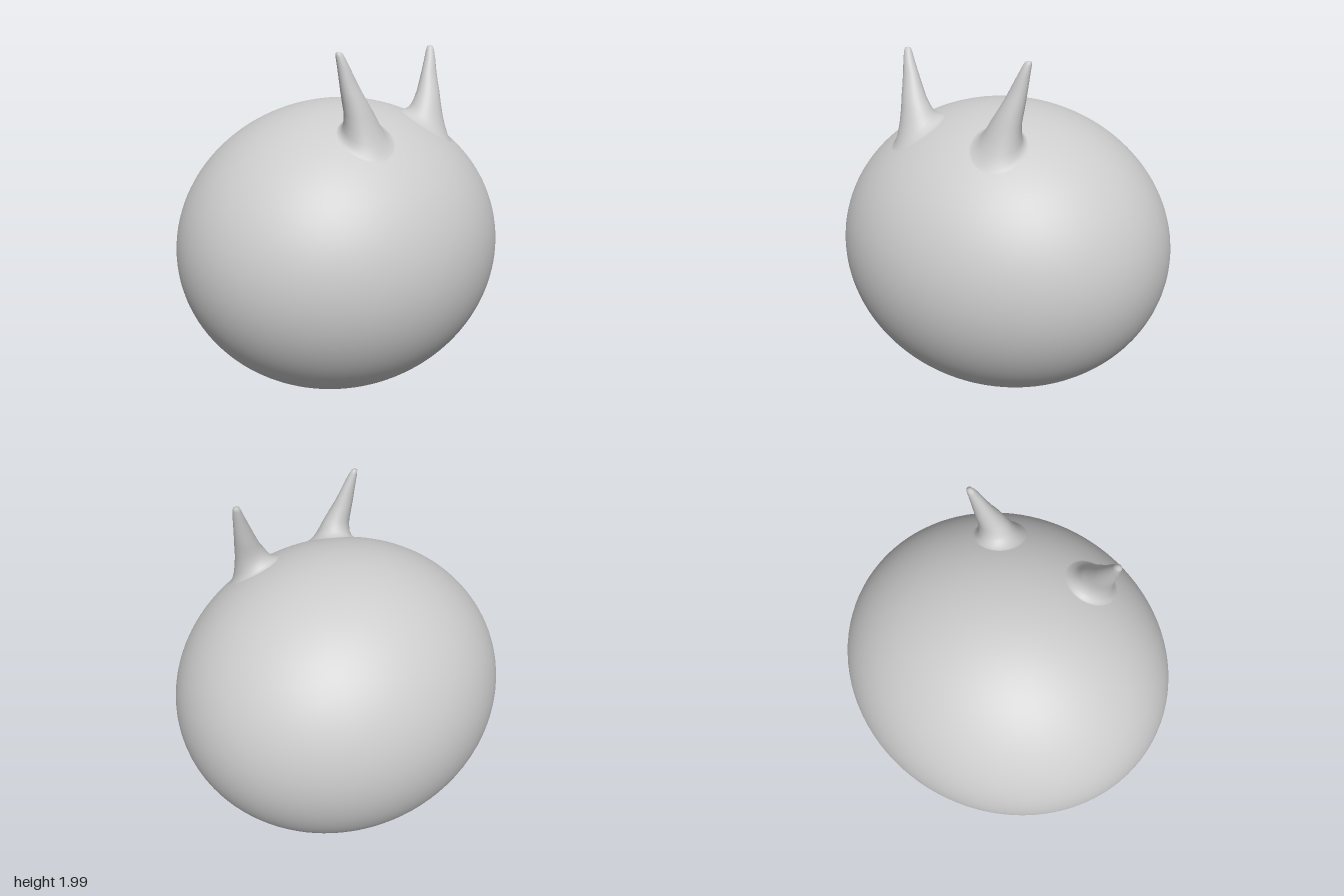
import * as THREE from 'three';

const RX = 1, RY = 0.85, RZ = 0.9, CY = 0.85;
const surfaceY = (x, z) => CY + RY * Math.sqrt(Math.max(0, 1 - (x / RX) ** 2 - (z / RZ) ** 2));

// Horn rings: centre x, radius x, centre z, radius z, lift above the body, level height, share of level height
const RINGS = [
  [0.285, 0.155, 0.405, 0.155, -0.003, 0, 0],
  [0.287, 0.138, 0.405, 0.143, 0.003, 0, 0],
  [0.292, 0.120, 0.403, 0.126, 0.015, 0, 0],
  [0.300, 0.104, 0.400, 0.106, 0.038, 1.62, 0.1],
  [0.309, 0.092, 0.394, 0.088, 0.075, 1.65, 0.3],
  [0.320, 0.081, 0.387, 0.074, 0.120, 1.69, 0.6],
  [0.338, 0.070, 0.376, 0.062, 0, 1.74, 1],
  [0.358, 0.057, 0.364, 0.049, 0, 1.80, 1],
  [0.376, 0.045, 0.354, 0.038, 0, 1.86, 1],
  [0.394, 0.032, 0.345, 0.030, 0, 1.92, 1],
  [0.407, 0.023, 0.336, 0.022, 0, 1.965, 1],
  [0.412, 0.017, 0.332, 0.015, 0, 1.985, 1],
];

// Flared horn whose foot follows the body surface
function hornGeometry(side) {
  const N = 40, pos = [], index = [];
  for (const [cx, rx, cz, rz, lift, level, share] of RINGS) {
    for (let i = 0; i < N; i++) {
      const a = (i / N) * Math.PI * 2;
      const x = side * cx + rx * Math.cos(a), z = cz + rz * Math.sin(a);
      pos.push(x, THREE.MathUtils.lerp(surfaceY(x, z) + lift, level, share), z);
    }
  }
  for (let r = 0; r < RINGS.length - 1; r++) {
    for (let i = 0; i < N; i++) {
      const a = r * N + i, b = r * N + (i + 1) % N;
      index.push(a, a + N, b, b, a + N, b + N);
    }
  }
  // Blunt tip
  const tip = pos.length / 3, last = (RINGS.length - 1) * N;
  pos.push(side * 0.413, 1.99, 0.331);
  for (let i = 0; i < N; i++) index.push(last + i, tip, last + (i + 1) % N);

  const g = new THREE.BufferGeometry();
  g.setAttribute('position', new THREE.Float32BufferAttribute(pos, 3));
  g.setIndex(index);
  g.computeVertexNormals();
  // The foot takes the body's normals so that it blends in
  const p = g.attributes.position, n = new THREE.Vector3();
  for (let i = 0; i < N; i++) {
    n.set(p.getX(i) / RX ** 2, (p.getY(i) - CY) / RY ** 2, p.getZ(i) / RZ ** 2).normalize();
    g.attributes.normal.setXYZ(i, n.x, n.y, n.z);
  }
  return g;
}

export function createModel() {
  const group = new THREE.Group();
  group.name = 'hornedBall';
  const grey = new THREE.MeshStandardMaterial({ color: 0xcccccc });
  grey.name = 'light grey';

  // Rounded body
  const body = new THREE.Mesh(new THREE.SphereGeometry(1, 96, 64).scale(RX, RY, RZ), grey);
  body.name = 'body';
  body.position.y = CY;
  group.add(body);

  // Pair of horns
  for (const side of [1, -1]) {
    const horn = new THREE.Mesh(hornGeometry(side), grey);
    horn.name = side > 0 ? 'leftHorn' : 'rightHorn';
    group.add(horn);
  }
  return group;
}
